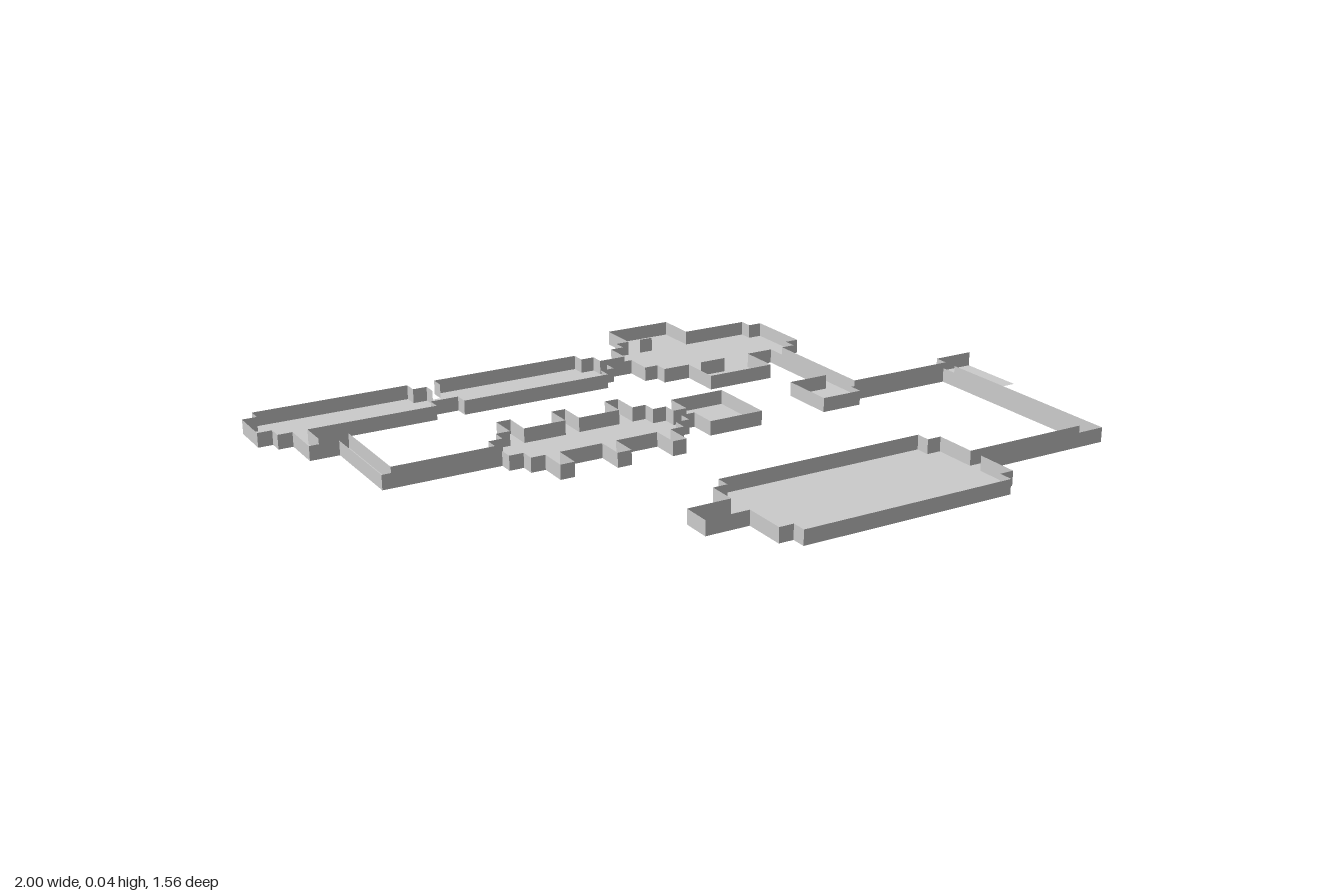
import * as THREE from 'three';
import { mergeGeometries } from 'three/addons/utils/BufferGeometryUtils.js';

const CELL = 0.04, HEIGHT = 0.04;

// Each part is a list of floor rectangles: x0, x1, z0, z1
const parts = {
  westHall: [[-0.96, -0.52, -0.62, -0.42], [-1, -0.96, -0.58, -0.46]],
  hallDoorway: [[-0.52, -0.44, -0.58, -0.46]],
  middleHall: [[-0.44, 0, -0.62, -0.42], [0, 0.04, -0.58, -0.46]],
  hallPassage: [[0.04, 0.12, -0.54, -0.5]],
  greatRoom: [[0.16, 0.6, -0.66, -0.38], [0.12, 0.16, -0.62, -0.42], [0.6, 0.64, -0.62, -0.42]],
  northAlcove: [[0.2, 0.4, -0.78, -0.66]],
  southAlcove: [[0.24, 0.44, -0.38, -0.26]],
  westCorridor: [[-0.92, -0.88, -0.42, -0.3], [-0.88, -0.8, -0.34, -0.3],
    [-0.84, -0.8, -0.3, -0.02], [-0.8, -0.52, -0.06, -0.02]],
  cellRoom: [[-0.48, -0.04, -0.14, 0.06], [-0.52, -0.48, -0.1, 0.02], [-0.04, 0, -0.1, 0.02]],
  cellNiches: [-0.44, -0.28, -0.12].flatMap((x) => [
    [x, x + 0.04, -0.22, -0.14], [x, x + 0.04, 0.06, 0.14]]),
  cellPassage: [[0, 0.04, -0.06, -0.02]],
  smallRoom: [[0.04, 0.2, -0.14, 0.06]],
  eastCorridor: [[0.52, 0.56, -0.38, 0.02], [0.56, 0.88, -0.02, 0.02]],
  guardRoom: [[0.4, 0.52, -0.1, 0.06]],
  eastLanding: [[0.88, 1, -0.06, 0.14]],
  southCorridor: [[0.84, 0.88, 0.02, 0.62], [0.48, 0.84, 0.58, 0.62]],
  southHall: [[-0.16, 0.44, 0.42, 0.78], [-0.2, -0.16, 0.46, 0.74], [0.44, 0.48, 0.46, 0.74]],
  southHallNook: [[-0.32, -0.2, 0.54, 0.62]],
};

// Edges without a wall, as x0, x1, z0, z1
const openings = [
  [-0.48, -0.44, -0.58, -0.58],
  [1, 1, -0.06, 0.14],
  [0.88, 1, 0.14, 0.14],
];

// Free-standing partitions inside the rooms: x0, z0, x1, z1
const partitions = [
  [-0.48, -0.58, -0.48, -0.54],
  [0.24, -0.66, 0.28, -0.66],
  [0.28, -0.38, 0.36, -0.38],
  [0.88, 0.02, 0.88, 0.14],
];

function cellsOf([x0, x1, z0, z1]) {
  const cells = [];
  for (let x = x0 + CELL / 2; x < x1; x += CELL)
    for (let z = z0 + CELL / 2; z < z1; z += CELL) cells.push([x, z]);
  return cells;
}

const key = (x, z) => Math.round(x * 100) + ',' + Math.round(z * 100);

function wall(x0, z0, x1, z1) {
  return new THREE.PlaneGeometry(Math.hypot(x1 - x0, z1 - z0), HEIGHT)
    .rotateY(-Math.atan2(z1 - z0, x1 - x0))
    .translate((x0 + x1) / 2, HEIGHT / 2, (z0 + z1) / 2);
}

function isOpen(x, z) {
  const e = 0.001;
  return openings.some(([x0, x1, z0, z1]) =>
    x > x0 - e && x < x1 + e && z > z0 - e && z < z1 + e);
}

export function createModel() {
  const model = new THREE.Group();
  model.name = 'floorPlan';
  const material = new THREE.MeshStandardMaterial({
    color: 0xcccccc, flatShading: true, side: THREE.DoubleSide });
  const add = (parent, name, geometries) => {
    const mesh = new THREE.Mesh(mergeGeometries(geometries), material);
    mesh.name = name;
    parent.add(mesh);
  };

  const occupied = new Set();
  for (const rects of Object.values(parts))
    for (const r of rects) for (const [x, z] of cellsOf(r)) occupied.add(key(x, z));

  for (const [name, rects] of Object.entries(parts)) {
    const group = new THREE.Group();
    group.name = name;
    model.add(group);

    // Floor slabs
    add(group, 'floor', rects.map(([x0, x1, z0, z1]) =>
      new THREE.PlaneGeometry(x1 - x0, z1 - z0).rotateX(-Math.PI / 2)
        .translate((x0 + x1) / 2, 0, (z0 + z1) / 2)));

    // Walls wherever a floor cell borders empty space
    const walls = [];
    for (const [x, z] of rects.flatMap(cellsOf)) {
      for (const [dx, dz] of [[1, 0], [-1, 0], [0, 1], [0, -1]]) {
        if (occupied.has(key(x + dx * CELL, z + dz * CELL))) continue;
        const h = CELL / 2, mx = x + dx * h, mz = z + dz * h;
        if (!isOpen(mx, mz)) walls.push(wall(mx + dz * h, mz - dx * h, mx - dz * h, mz + dx * h));
      }
    }
    if (walls.length) add(group, 'walls', walls);
  }

  add(model, 'partitions', partitions.map((p) => wall(...p)));
  return model;
}
